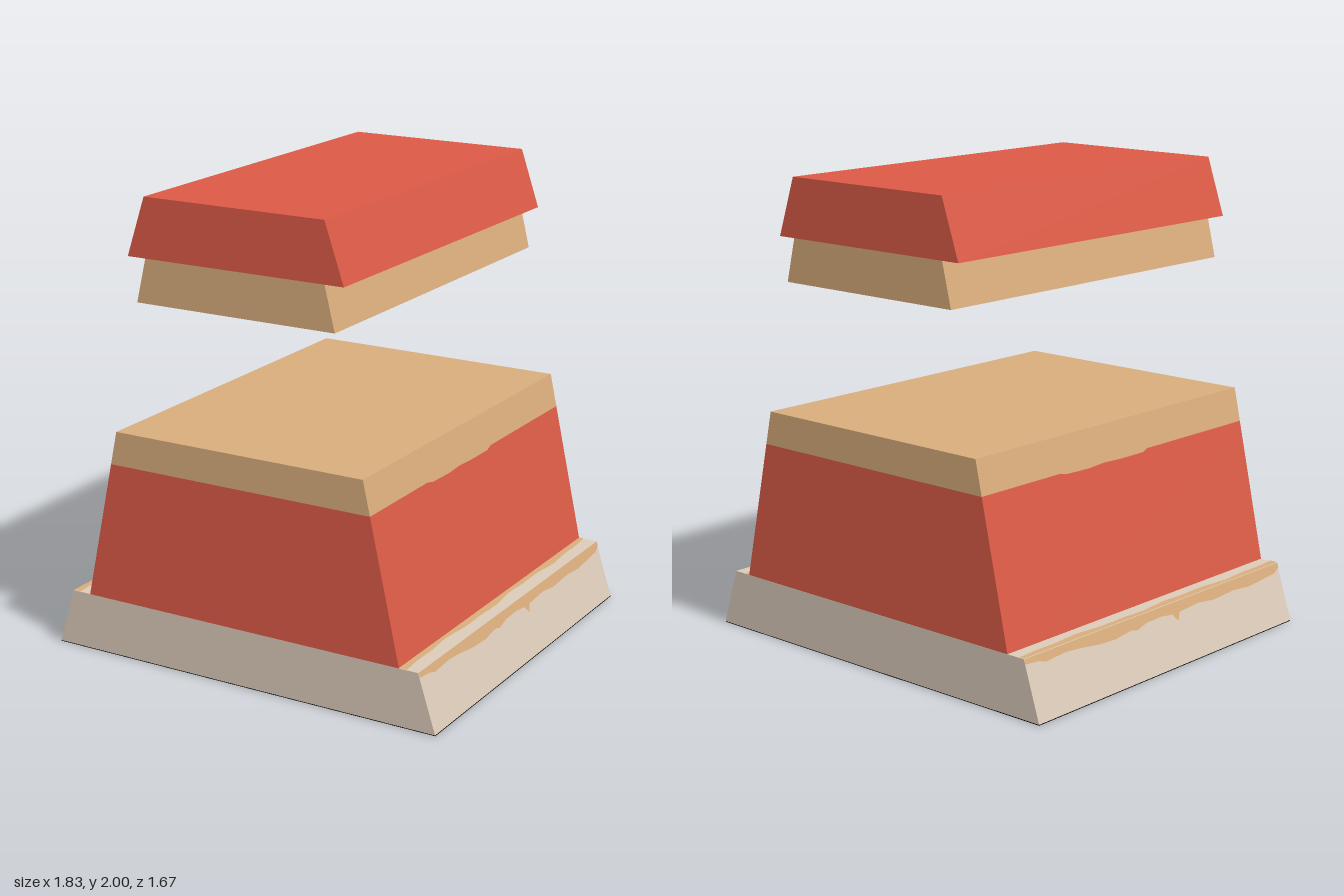
import * as THREE from 'three';

const HALF_DEPTH = 0.835;

const material = (name, color, side = THREE.FrontSide) => {
  const m = new THREE.MeshStandardMaterial({ color, side });
  m.name = name;
  return m;
};

// Trapezoid prism running along z, from height y0 to y1 with half widths w0 and w1
function prism(name, mat, y0, y1, w0, w1) {
  const shape = new THREE.Shape([
    new THREE.Vector2(-w0, y0), new THREE.Vector2(w0, y0),
    new THREE.Vector2(w1, y1), new THREE.Vector2(-w1, y1),
  ]);
  const geo = new THREE.ExtrudeGeometry(shape, { depth: HALF_DEPTH * 2, bevelEnabled: false });
  geo.translate(0, 0, -HALF_DEPTH);
  const mesh = new THREE.Mesh(geo, mat);
  mesh.name = name;
  return mesh;
}

// Thin wavy strip along z: rows are [z, wavy value], place(value) gives [x, y]
function strip(name, mat, straight, rows, place) {
  const pos = [], idx = [];
  rows.forEach(([z, wavy], i) => {
    for (const v of [straight, wavy]) pos.push(...place(v), z);
    if (i) idx.push(2 * i - 2, 2 * i, 2 * i - 1, 2 * i - 1, 2 * i, 2 * i + 1);
  });
  const geo = new THREE.BufferGeometry();
  geo.setAttribute('position', new THREE.Float32BufferAttribute(pos, 3));
  // wind the strip so that its normals point outward and up
  geo.setIndex(idx);
  geo.computeVertexNormals();
  const n = geo.attributes.normal;
  if (n.getX(0) * pos[0] + n.getY(0) < 0) {
    geo.setIndex(idx.reverse());
    geo.computeVertexNormals();
  }
  const mesh = new THREE.Mesh(geo, mat);
  mesh.name = name;
  return mesh;
}

export function createModel() {
  const red = material('red paint', 0xdb5a46);
  const tan = material('tan', 0xd8ac7b);
  const cream = material('cream stone', 0xdbcab9);
  const black = material('black underside', 0x050505);

  const model = new THREE.Group();
  model.name = 'steppedBlock';

  // Base, body and floating lid
  model.add(
    prism('baseUnderside', black, 0, 0.003, 0.915, 0.914),
    prism('base', cream, 0.003, 0.25, 0.914, 0.835),
    prism('bodyLower', red, 0.25, 0.855, 0.75, 0.617),
    prism('bodyTop', tan, 0.855, 1, 0.617, 0.585),
    prism('lidLower', tan, 1.565, 1.75, 0.46, 0.415),
    prism('lidTop', red, 1.75, 2, 0.5, 0.415),
  );

  // Tan edge running down the sloping sides of the base
  const spill = [
    [0.835, 0.23], [0.76, 0.225], [0.72, 0.213], [0.6, 0.22], [0.5, 0.212], [0.4, 0.2],
    [0.3, 0.196], [0.2, 0.206], [0.16, 0.198], [0.1, 0.212], [0, 0.214], [-0.07, 0.206],
    [-0.1, 0.175], [-0.12, 0.206], [-0.25, 0.213], [-0.35, 0.202], [-0.5, 0.208],
    [-0.6, 0.2], [-0.7, 0.206], [-0.8, 0.213], [-0.835, 0.23],
  ];
  // Dip of the tan band on the sloping sides of the body
  const dip = [[0.37, 0.855], [0.33, 0.847], [0.2, 0.844], [0.1, 0.849], [0, 0.845], [-0.15, 0.845], [-0.18, 0.855]];

  for (const s of [1, -1]) {
    const side = s > 0 ? 'left' : 'right';
    const turn = (rows) => rows.map(([z, v]) => [z * s, v]);
    model.add(
      strip(side + 'BaseStain', tan, 0.25, turn(spill), (y) => [s * (0.917 - 0.32 * y), y]),
      strip(side + 'BodyBandDip', tan, 0.857, turn(dip), (y) => [s * (0.807 - 0.22 * y), y]),
    );
  }

  // Wavy tan strips lying on the two ledges of the base
  const wave = Array.from({ length: 25 }, (_, i) => {
    const z = HALF_DEPTH * (i / 12 - 1);
    return [z, 0.006 * Math.sin(z * 9) + 0.004 * Math.sin(z * 23)];
  });
  model.add(
    strip('leftLedgeStain', tan, 0.75, wave.map(([z, w]) => [z, 0.779 + w]), (x) => [x, 0.252]),
    strip('rightLedgeStain', tan, -0.835, wave.map(([z, w]) => [z, -0.806 + w]), (x) => [x, 0.252]),
  );
  return model;
}
